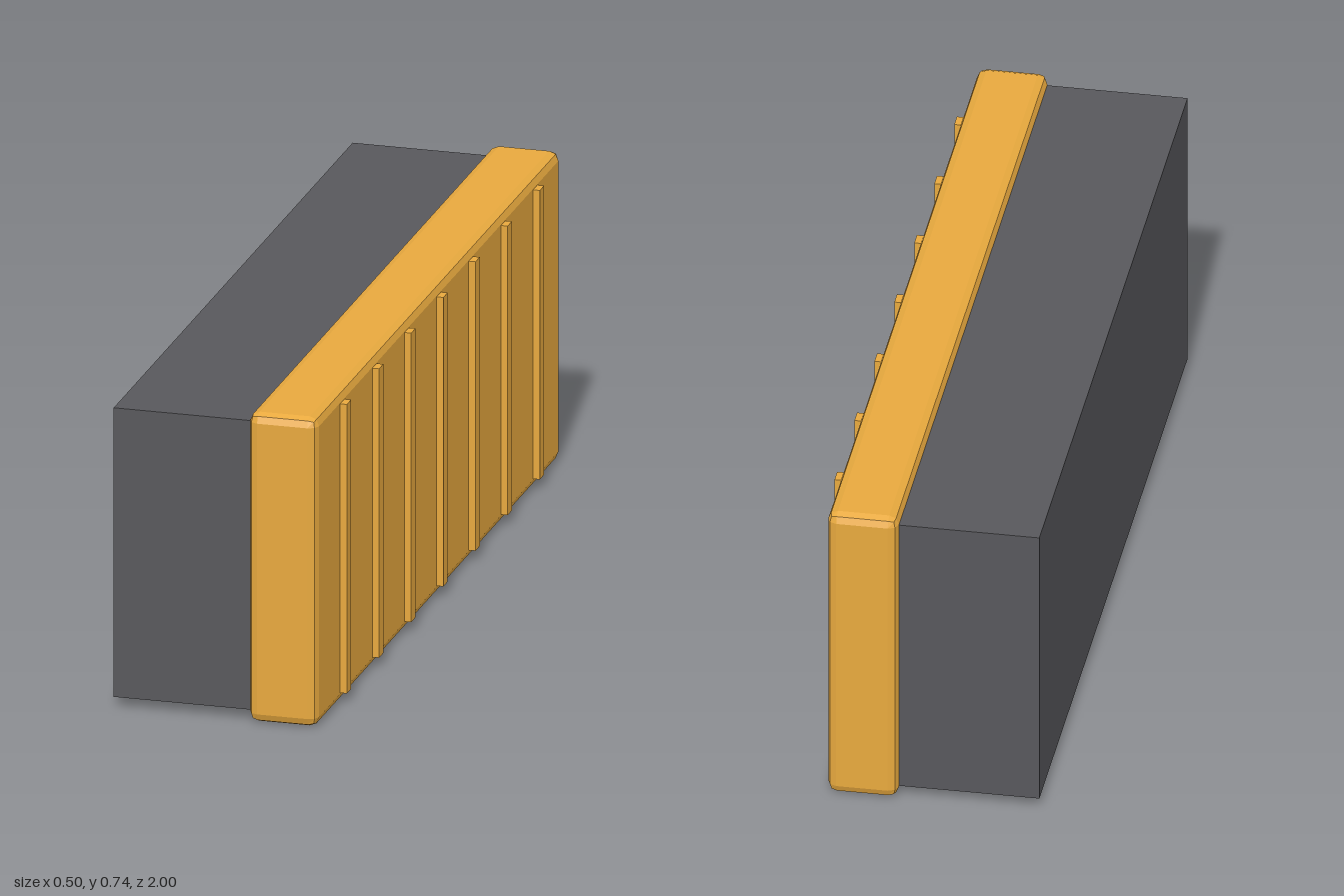
import * as THREE from 'three';
import { RoundedBoxGeometry } from 'three/addons/geometries/RoundedBoxGeometry.js';

export function createModel() {
  const model = new THREE.Group();
  model.name = 'ribbedPanelBlock';

  const orange = new THREE.MeshStandardMaterial({ color: 0xe8a93e, flatShading: true });
  const dark = new THREE.MeshStandardMaterial({ color: 0x58585c, flatShading: true });

  const midY = 0.372;
  const add = (name, geometry, material, x, z = 0) => {
    const mesh = new THREE.Mesh(geometry, material);
    mesh.name = name;
    mesh.position.set(x, midY, z);
    model.add(mesh);
  };

  // Plain dark body, running slightly into the panel
  add('body', new THREE.BoxGeometry(0.34, 0.696, 1.954), dark, -0.083);

  // Thick panel with a two-step bevel on every edge
  add('panel', new RoundedBoxGeometry(0.163, 0.744, 2, 1, 0.022), orange, 0.1535);

  // Seven upright ribs on the outer face of the panel
  const rib = new THREE.BoxGeometry(0.03, 0.696, 0.035);
  for (let i = -3; i <= 3; i++) add('rib', rib, orange, 0.236, i * 0.263);

  return model;
}
